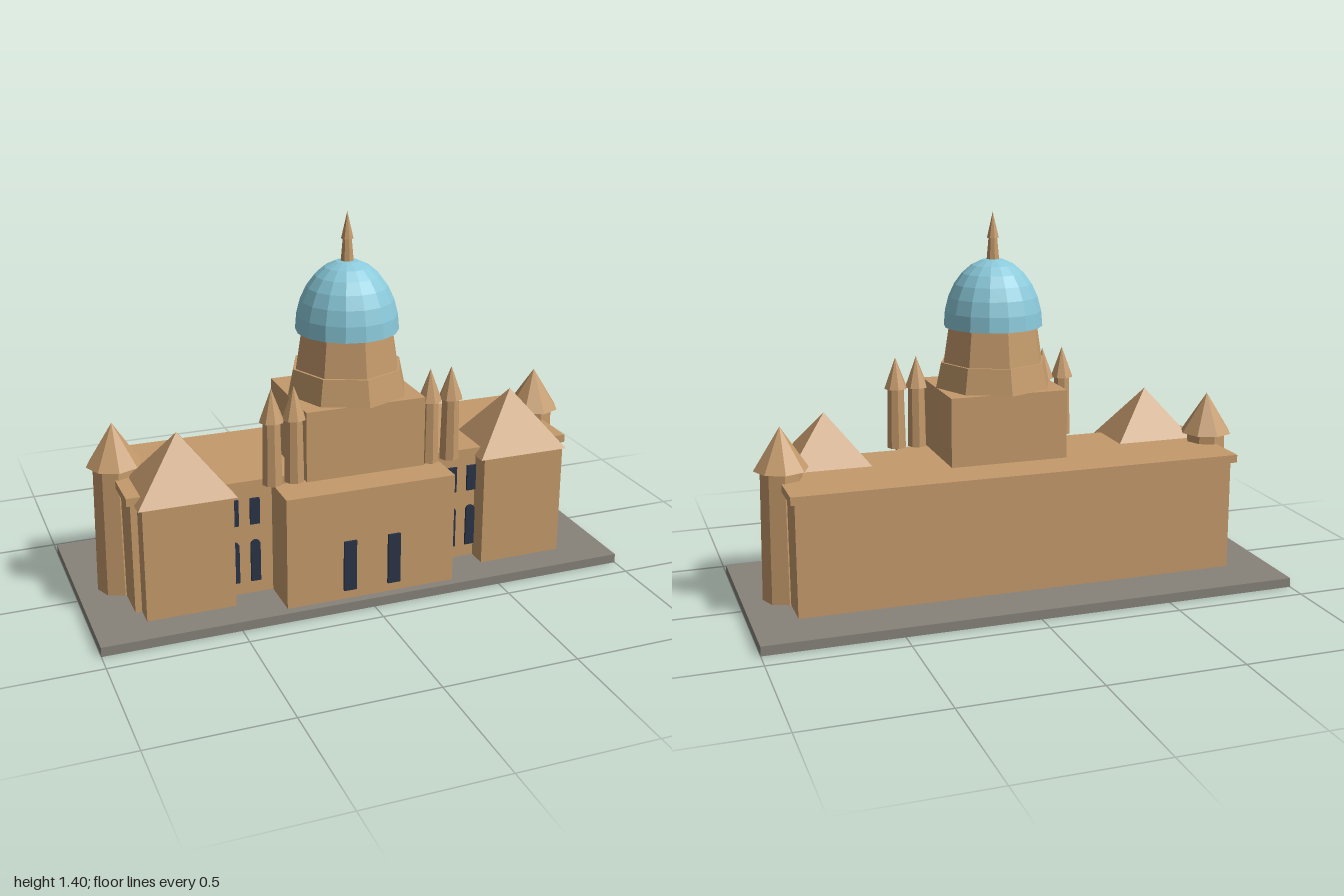
import * as THREE from 'three';

const mat = (name, color) => {
  const m = new THREE.MeshStandardMaterial({ color, flatShading: true });
  m.name = name;
  return m;
};

export function createModel() {
  const model = new THREE.Group();
  model.name = 'domedHall';
  const stone = mat('sandstone', 0xc49a6b);
  const copper = mat('paleBlueDome', 0x8ac9da);
  const glass = mat('darkGlass', 0x2a3447);
  const paving = mat('greyPaving', 0x87837a);

  const add = (name, geometry, material, parent = model) => {
    const mesh = new THREE.Mesh(geometry, material);
    mesh.name = name;
    parent.add(mesh);
    return mesh;
  };
  // Box given by its limits on each axis
  const box = (name, x0, x1, y0, y1, z0, z1, material = stone) =>
    add(name, new THREE.BoxGeometry(x1 - x0, y1 - y0, z1 - z0)
      .translate((x0 + x1) / 2, (y0 + y1) / 2, (z0 + z1) / 2), material);
  // Tapered eight-sided prism standing between two heights
  const prism = (name, rBottom, rTop, y0, y1, x, z, parent = model) =>
    add(name, new THREE.CylinderGeometry(rTop, rBottom, y1 - y0, 8)
      .translate(x, (y0 + y1) / 2, z), stone, parent);
  const turret = (name, x, z, rBottom, rTop, rRoof, y0, yEave, yTip) => {
    const group = new THREE.Group();
    group.name = name;
    prism('turretShaft', rBottom, rTop, y0, yEave, x, z, group);
    prism('turretRoof', rRoof, 0, yEave, yTip, x, z, group);
    model.add(group);
  };
  // Thin window plate, optionally with a round head
  const windowPlate = (name, x, y0, y1, width, z, arched) => {
    const h = width / 2;
    const s = new THREE.Shape();
    s.moveTo(-h, y0);
    s.lineTo(h, y0);
    if (arched) {
      s.lineTo(h, y1 - h);
      s.absarc(0, y1 - h, h, 0, Math.PI, false);
    } else {
      s.lineTo(h, y1);
      s.lineTo(-h, y1);
    }
    s.closePath();
    add(name, new THREE.ExtrudeGeometry(s, { depth: 0.009, bevelEnabled: false, curveSegments: 6 })
      .translate(x, 0, z), glass);
  };

  // Plinth, long main range and entrance block
  box('plinth', -1, 1, 0, 0.035, -0.42, 0.42, paving);
  box('mainRange', -0.835, 0.835, 0.035, 0.455, -0.222, 0.222);
  box('roofSlab', -0.852, 0.852, 0.455, 0.485, -0.242, 0.242);
  box('entranceBlock', -0.322, 0.322, 0.035, 0.455, 0, 0.386);

  for (const side of [-1, 1]) {
    // Wing pavilion with a pyramid roof
    const cx = side * 0.648;
    box('pavilion', cx - 0.163, cx + 0.163, 0.035, 0.455, 0.04, 0.299);
    add('pavilionRoof', new THREE.ConeGeometry(Math.SQRT1_2, 1, 4)
      .rotateY(Math.PI / 4)
      .scale(0.354, 0.22, 0.27)
      .translate(cx, 0.565, 0.166), stone);

    // End turrets and the paired slim turrets beside the dome
    turret('endTurret', side * 0.84, 0, 0.084, 0.076, 0.1, 0.035, 0.52, 0.676);
    for (const x of [0.259, 0.341])
      turret('slimTurret', side * x, 0.29, 0.037, 0.032, 0.045, 0.485, 0.718, 0.838);

    // Windows of the main range and the entrance
    for (const x of [0.388, 0.467]) {
      windowPlate('upperWindow', side * x, 0.31, 0.41, 0.036, 0.222, false);
      windowPlate('archedWindow', side * x, 0.085, 0.247, 0.036, 0.222, true);
    }
    windowPlate('entranceWindow', side * 0.085, 0.07, 0.263, 0.048, 0.386, false);
  }

  // Square tower base, two-stage drum, dome and finial
  const dz = 0.13;
  box('towerBase', -0.225, 0.225, 0.485, 0.745, -0.067, 0.325);
  prism('lowerDrum', 0.226, 0.205, 0.743, 0.84, 0, dz);
  prism('upperDrum', 0.195, 0.174, 0.84, 0.975, 0, dz);

  const profile = [new THREE.Vector2(0, 0)];
  for (let i = 0; i <= 7; i++) {
    const a = (i / 7) * Math.PI / 2;
    profile.push(new THREE.Vector2(Math.max(0, 0.186 * Math.cos(a)), 0.254 * Math.sin(a)));
  }
  add('dome', new THREE.LatheGeometry(profile, 16).translate(0, 0.971, dz), copper);

  prism('finialShaft', 0.025, 0.017, 1.215, 1.3, 0, dz);
  prism('finialTip', 0.023, 0, 1.3, 1.396, 0, dz);
  return model;
}
